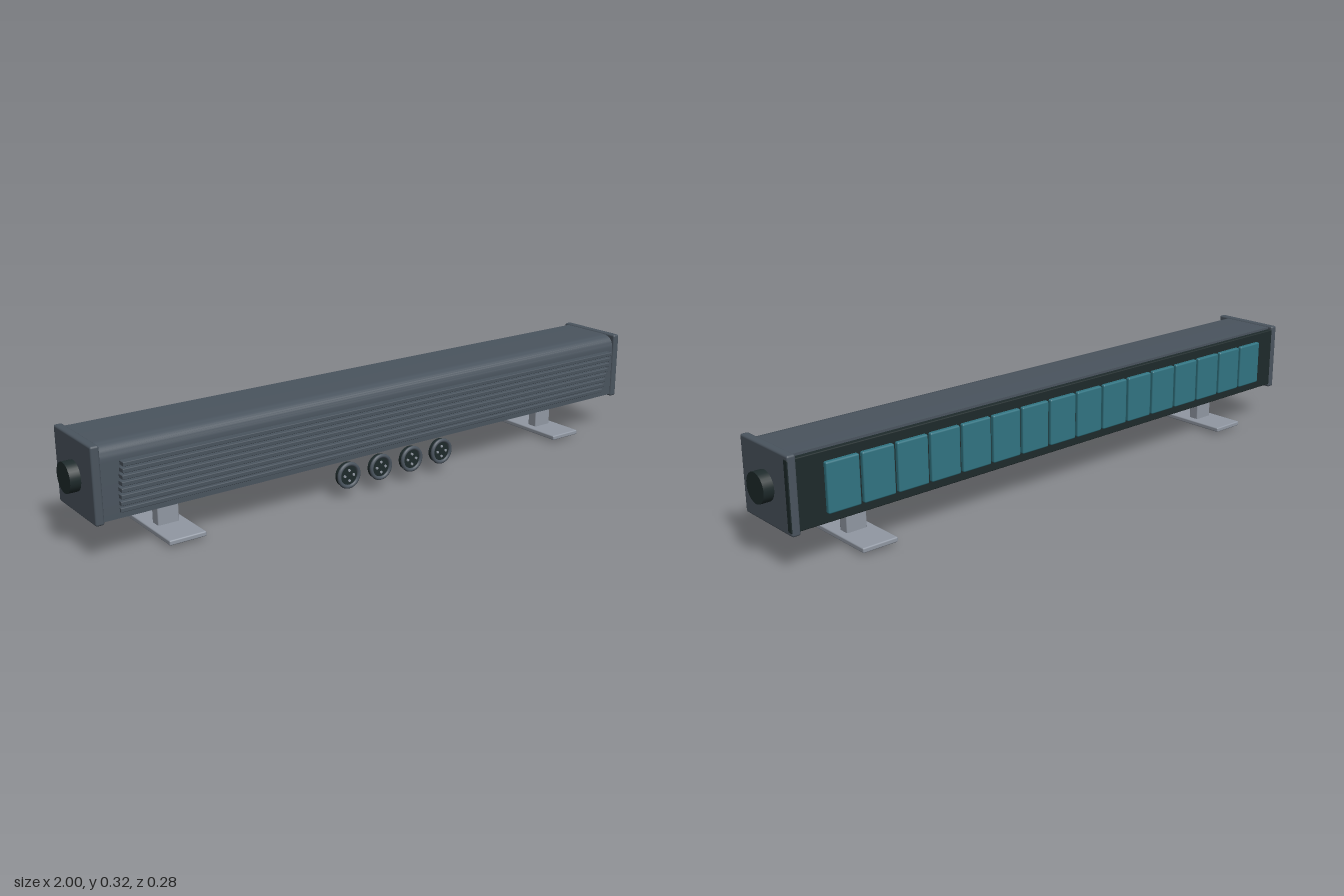
import * as THREE from 'three';
import { RoundedBoxGeometry } from 'three/addons/geometries/RoundedBoxGeometry.js';
import { toCreasedNormals } from 'three/addons/utils/BufferGeometryUtils.js';

const mat = (name, color) => new THREE.MeshStandardMaterial({ name, color });

export function createModel() {
  const slate = mat('slate', 0x4a545e);
  const dark = mat('dark', 0x1e2a2b);
  const teal = mat('teal', 0x317482);
  const metal = mat('metal', 0x9198a3);

  const model = new THREE.Group();
  model.name = 'lightBar';

  const add = (parent, name, geometry, material, x, y, z) => {
    const mesh = new THREE.Mesh(geometry, material);
    mesh.name = name;
    mesh.position.set(x, y, z);
    parent.add(mesh);
    return mesh;
  };
  const rounded = (w, h, d, r) => new RoundedBoxGeometry(w, h, d, 2, r);

  // Housing: cross-section with a softly rounded upper front edge (shape x = -z)
  const section = new THREE.Shape();
  section.moveTo(-0.1, 0.115);
  section.lineTo(0.11, 0.115);
  section.lineTo(0.11, 0.321);
  section.lineTo(-0.055, 0.321);
  section.quadraticCurveTo(-0.1, 0.321, -0.1, 0.275);
  section.closePath();
  const housing = new THREE.ExtrudeGeometry(section, { depth: 1.9, bevelEnabled: false, curveSegments: 10 });
  housing.rotateY(Math.PI / 2);
  add(model, 'housing', toCreasedNormals(housing, 0.5), slate, -0.95, 0, 0);

  // End caps with pivot knobs
  const knob = new THREE.CylinderGeometry(0.043, 0.043, 0.034, 32).rotateZ(Math.PI / 2);
  for (const s of [-1, 1]) {
    add(model, 'endCap', rounded(0.025, 0.217, 0.232, 0.006), slate, s * 0.9575, 0.2165, -0.011);
    add(model, 'pivotKnob', knob, dark, s * 0.983, 0.216, -0.01);
  }

  // Cooling slats, stepping forward towards the top
  const slat = rounded(1.8, 0.012, 0.024, 0.002);
  for (let i = 0; i < 8; i++) {
    add(model, 'slat', slat, slate, 0, 0.138 + i * 0.0194, 0.096 + i * 0.0046);
  }

  // Rear panel and its row of windows
  add(model, 'rearPanel', rounded(1.931, 0.196, 0.018, 0.003), dark, 0.0055, 0.216, -0.116);
  const pane = rounded(0.1, 0.141, 0.018, 0.005);
  for (let i = 0; i < 16; i++) {
    add(model, 'rearWindow', pane, teal, (i - 7.5) * 0.109, 0.2155, -0.128);
  }

  // Feet
  for (const s of [-1, 1]) {
    const foot = new THREE.Group();
    foot.name = 'foot';
    foot.position.set(s * 0.717, 0, -0.01);
    model.add(foot);
    add(foot, 'footPost', rounded(0.065, 0.12, 0.036, 0.004), metal, 0, 0.06, 0);
    add(foot, 'footPlate', rounded(0.112, 0.015, 0.257, 0.004), metal, 0, 0.0155, 0);
  }

  // Round connectors below the housing
  const disc = new THREE.CylinderGeometry(0.038, 0.038, 0.016, 28).rotateX(Math.PI / 2);
  const ring = new THREE.TorusGeometry(0.035, 0.006, 10, 32);
  const pin = new THREE.CylinderGeometry(0.004, 0.004, 0.008, 10).rotateX(Math.PI / 2);
  for (let i = 0; i < 4; i++) {
    const connector = new THREE.Group();
    connector.name = 'connector';
    connector.position.set((i - 1.5) * 0.118, 0.071, 0);
    model.add(connector);
    add(connector, 'connectorDisc', disc, dark, 0, 0, 0.1);
    add(connector, 'connectorRing', ring, slate, 0, 0, 0.108);
    for (let k = 0; k < 4; k++) {
      const a = (k * Math.PI) / 2;
      add(connector, 'connectorPin', pin, metal, Math.cos(a) * 0.016, Math.sin(a) * 0.016, 0.108);
    }
  }
  return model;
}
